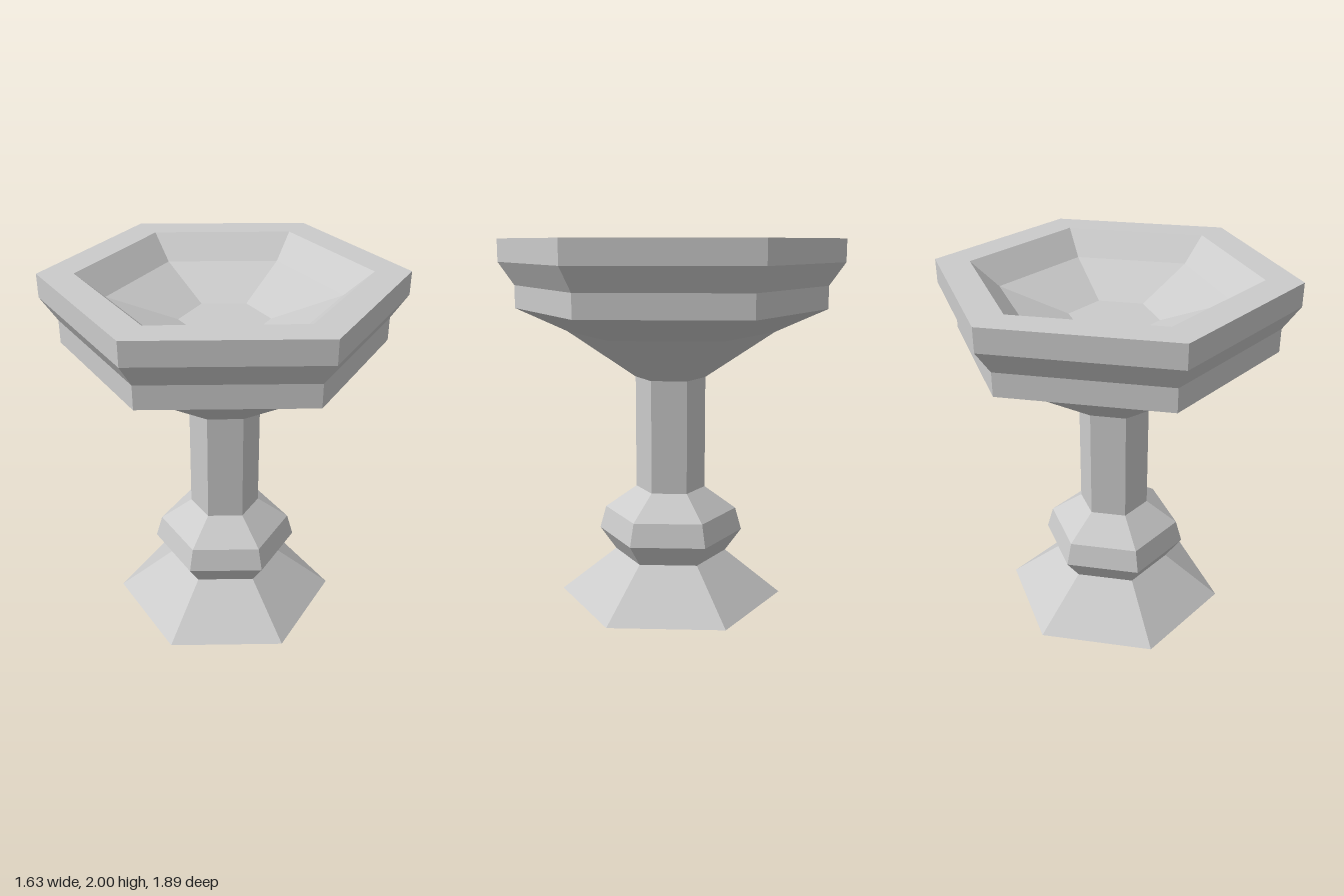
import * as THREE from 'three';

const SIDES = 6;

// Thin hollow shells, so both faces show
const material = new THREE.MeshStandardMaterial({
  color: 0xcccccc,
  flatShading: true,
  side: THREE.DoubleSide,
});

// Six-sided turned part from [radius, height] pairs, corners on +z and -z
function turned(name, profile) {
  const points = profile.map(([r, y]) => new THREE.Vector2(r, y));
  const mesh = new THREE.Mesh(new THREE.LatheGeometry(points, SIDES), material);
  mesh.name = name;
  return mesh;
}

export function createModel() {
  const goblet = new THREE.Group();
  goblet.name = 'goblet';

  goblet.add(
    // Flared foot, open underneath
    turned('foot', [[0.625, 0], [0.313, 0.25]]),
    // Faceted knob above the foot
    turned('knob', [[0.313, 0.25], [0.403, 0.375], [0.368, 0.5], [0.193, 0.625]]),
    turned('stem', [[0.193, 0.625], [0.193, 1.25]]),
    // Bowl outside, up to the stepped band
    turned('bowl', [[0.193, 1.25], [0.57, 1.5], [0.855, 1.625]]),
    turned('band', [[0.855, 1.625], [0.855, 1.75], [0.943, 1.875], [0.943, 2]]),
    // Flat rim, then the shallow hollow down to its floor
    turned('rim', [[0.943, 2], [0.755, 2]]),
    turned('hollow', [[0.755, 2], [0.605, 1.875], [0.24, 1.75], [0, 1.75]]),
  );

  return goblet;
}
